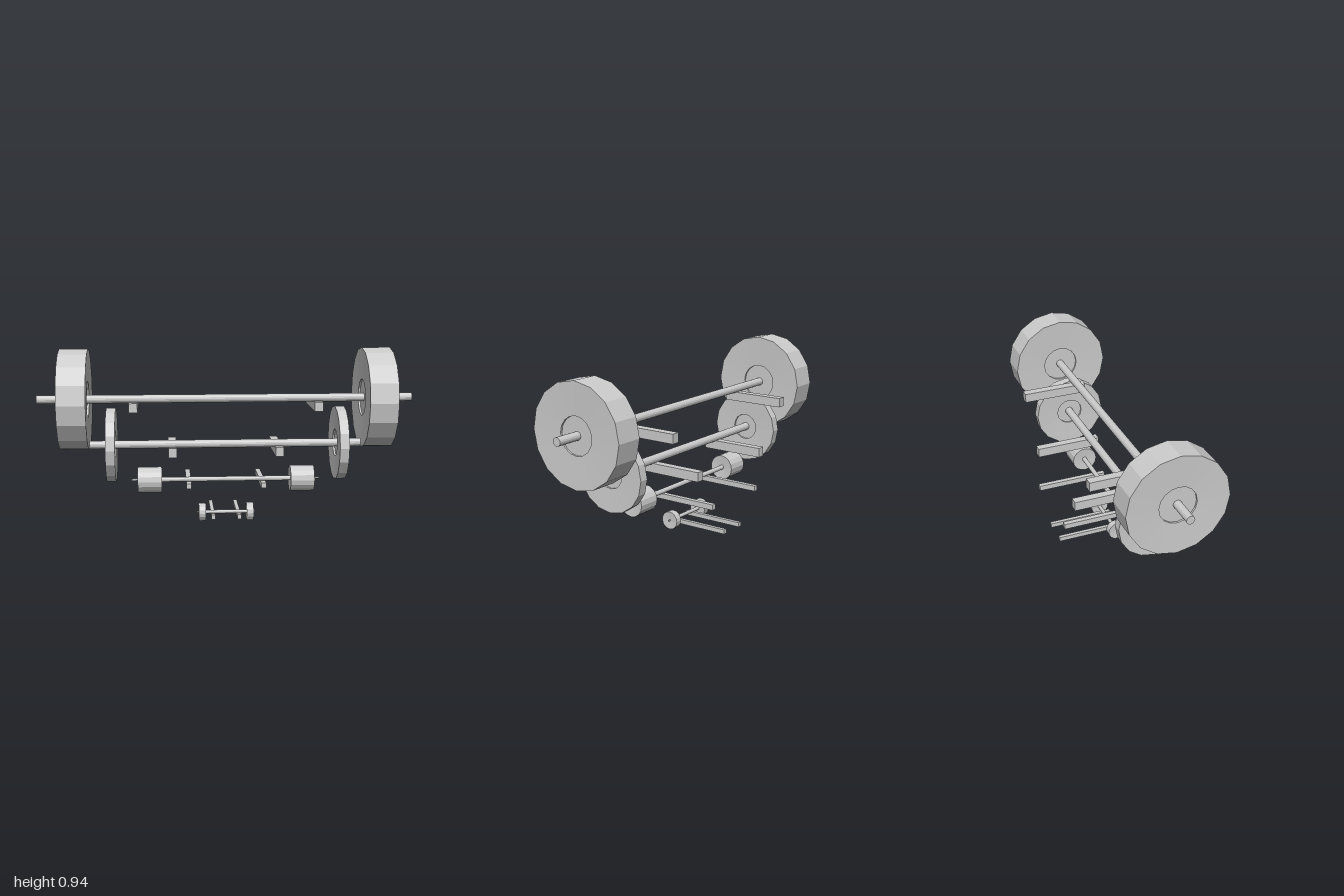
import * as THREE from 'three';

const AXIS_Z = 0.03;
const SIDES = 16;

// One entry per barbell: bar, plates and the pair of rails it rests on
const BARBELLS = [
  { name: 'largeBarbell', y: 0.67, barRadius: 0.022, halfLength: 1, plateRadius: 0.267, plate: [0.725, 0.875], hub: 0.098,
    rail: { x: 0.493, width: 0.046, y: [0.602, 0.652], z: [-0.272, 0.084] } },
  { name: 'mediumBarbell', y: 0.425, barRadius: 0.022, halfLength: 0.75, plateRadius: 0.198, plate: [0.585, 0.635], hub: 0.073,
    rail: { x: 0.286, width: 0.044, y: [0.36, 0.41], z: [-0.272, 0.084] } },
  { name: 'smallBarbell', y: 0.232, barRadius: 0.013, tipRadius: 0.006, halfLength: 0.507, plateRadius: 0.07, plate: [0.345, 0.473],
    rail: { x: 0.2, width: 0.027, y: [0.19, 0.219], z: [-0.297, 0.09] } },
  { name: 'tinyBarbell', y: 0.05, barRadius: 0.01, tipRadius: 0.005, halfLength: 0.157, plateRadius: 0.049, plate: [0.11, 0.148],
    rail: { x: 0.07, width: 0.021, y: [0.018, 0.042], z: [-0.28, 0.073] } },
];

const material = new THREE.MeshStandardMaterial({ color: 0xcccccc, flatShading: true });

function addMesh(parent, name, geometry, x, y, z) {
  const mesh = new THREE.Mesh(geometry, material);
  mesh.name = name;
  mesh.position.set(x, y, z);
  parent.add(mesh);
}

// Cylinder lying along x
function rod(radius, length) {
  return new THREE.CylinderGeometry(radius, radius, length, SIDES).rotateZ(-Math.PI / 2);
}

// Weight plate with slightly dished faces and an optional recessed hub
function plateGeometry(radius, thickness, hub) {
  const h = thickness / 2;
  const dish = Math.min(0.006, thickness * 0.1);
  const half = hub
    ? [[radius, h], [hub, h - dish], [hub, h - dish - 0.01], [0, h - dish - 0.01]]
    : [[radius, h], [0, h - dish]];
  const lower = half.map(([r, y]) => [r, -y]).reverse();
  const points = [...lower, ...half].map(([r, y]) => new THREE.Vector2(r, y));
  return new THREE.LatheGeometry(points, SIDES).rotateZ(-Math.PI / 2);
}

export function createModel() {
  const model = new THREE.Group();
  model.name = 'barbellRack';

  for (const b of BARBELLS) {
    const group = new THREE.Group();
    group.name = b.name;
    model.add(group);

    const [inner, outer] = b.plate;
    const barHalf = b.tipRadius ? (inner + outer) / 2 : b.halfLength;
    addMesh(group, 'bar', rod(b.barRadius, barHalf * 2), 0, b.y, AXIS_Z);
    if (b.tipRadius) addMesh(group, 'barTips', rod(b.tipRadius, b.halfLength * 2), 0, b.y, AXIS_Z);

    const { rail } = b;
    const [y0, y1] = rail.y;
    const [z0, z1] = rail.z;
    for (const [side, label] of [[1, 'left'], [-1, 'right']]) {
      addMesh(group, label + 'Plate', plateGeometry(b.plateRadius, outer - inner, b.hub),
        side * (inner + outer) / 2, b.y, AXIS_Z);
      addMesh(group, label + 'Rail', new THREE.BoxGeometry(rail.width, y1 - y0, z1 - z0),
        side * rail.x, (y0 + y1) / 2, (z0 + z1) / 2);
    }
  }
  return model;
}
